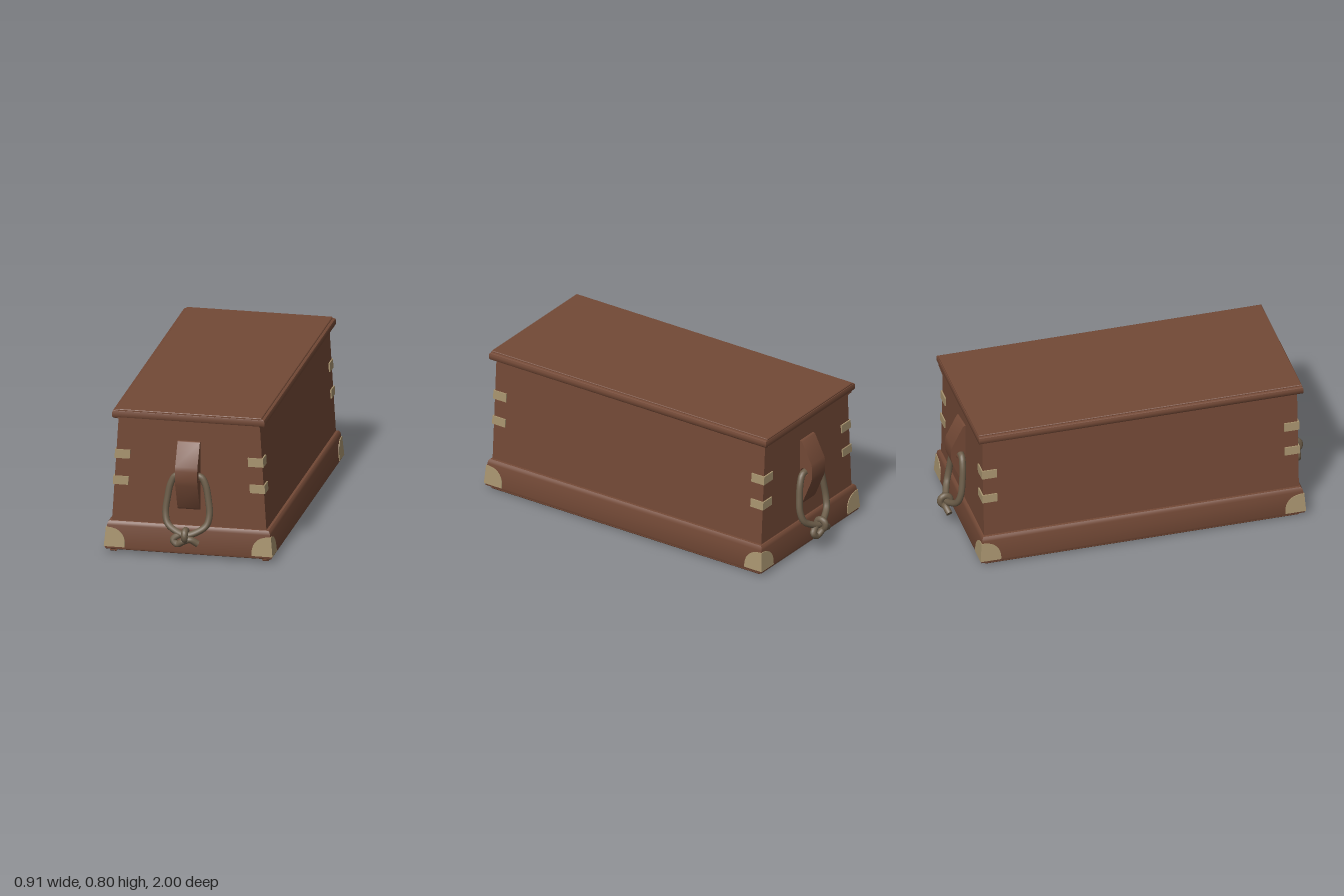
import * as THREE from 'three';
import { toCreasedNormals } from 'three/addons/utils/BufferGeometryUtils.js';

const mat = (name, color) => new THREE.MeshStandardMaterial({ name, color });

// Rectangular loft through levels [y, halfX, halfZ], capped at both ends
function loft(levels) {
  const pos = [], idx = [];
  for (const [y, x, z] of levels) pos.push(-x, y, z, x, y, z, x, y, -z, -x, y, -z);
  for (let l = 0; l < levels.length - 1; l++) {
    for (let i = 0; i < 4; i++) {
      const a = l * 4 + i, b = l * 4 + (i + 1) % 4;
      idx.push(a, b, b + 4, a, b + 4, a + 4);
    }
  }
  const t = (levels.length - 1) * 4;
  idx.push(0, 2, 1, 0, 3, 2, t, t + 1, t + 2, t, t + 2, t + 3);
  const g = new THREE.BufferGeometry();
  g.setAttribute('position', new THREE.Float32BufferAttribute(pos, 3));
  g.setIndex(idx);
  return toCreasedNormals(g, 0.65);
}

// Polygon extruded by depth
function extrude(points, depth, hole) {
  const s = new THREE.Shape(points.map(p => new THREE.Vector2(...p)));
  if (hole) s.holes.push(hole);
  return new THREE.ExtrudeGeometry(s, { depth, bevelEnabled: false, curveSegments: 16 });
}

// Moves each vertex by a rule; flip reverses the triangle winding
function remap(geo, rule, flip) {
  const g = geo.index ? geo.toNonIndexed() : geo.clone();
  const p = g.attributes.position, out = [];
  for (let i = 0; i < p.count; i++) out.push(rule(p.getX(i), p.getY(i), p.getZ(i)));
  for (let i = 0; i < p.count; i += 3) {
    const order = flip ? [0, 2, 1] : [0, 1, 2];
    order.forEach((k, j) => p.setXYZ(i + j, ...out[i + k]));
  }
  g.computeVertexNormals();
  return g;
}

export function createModel() {
  const wood = mat('brown wood', 0x734936);
  const brass = mat('pale brass', 0xa8946f);
  const rope = mat('rope', 0x6c5d49);
  const model = new THREE.Group();
  const add = (parent, name, geo, m) => {
    const mesh = new THREE.Mesh(geo, m);
    mesh.name = name;
    parent.add(mesh);
    return mesh;
  };

  // Tapered body and flared plinth
  add(model, 'body', loft([[0.16, 0.416, 0.86], [0.76, 0.379, 0.86]]), wood);
  add(model, 'plinth', loft([[0.018, 0.438, 0.875], [0.022, 0.446, 0.882], [0.035, 0.45, 0.885],
    [0.15, 0.439, 0.877], [0.165, 0.435, 0.874], [0.173, 0.427, 0.867], [0.175, 0.41, 0.855]]), wood);

  // Runners under the plinth
  for (const s of [-1, 1]) {
    const runner = add(model, 'runner', loft([[0, 0.014, 0.85], [0.005, 0.019, 0.858], [0.025, 0.019, 0.858]]), wood);
    runner.position.x = s * 0.409;
  }

  // Lid with rounded moulding and a raised top panel
  add(model, 'lidMoulding', loft([[0.745, 0.398, 0.878], [0.75, 0.406, 0.884], [0.756, 0.41, 0.887],
    [0.775, 0.41, 0.887], [0.785, 0.407, 0.885], [0.789, 0.4, 0.88]]), wood);
  add(model, 'lidPanel', loft([[0.785, 0.393, 0.883], [0.793, 0.393, 0.883], [0.796, 0.39, 0.88]]), wood);

  // Brass straps wrapping the body corners, following the taper
  const o = 0.007, n = -0.003, w = 0.075;
  const strapPlan = [[o, -o], [o, w], [n, w], [n, -n], [-w, -n], [-w, -o]];
  // Quarter-round plates for the plinth corners
  const quarter = [[0, 0]];
  for (let i = 0; i <= 14; i++) {
    const a = i / 14 * Math.PI / 2;
    quarter.push([0.112 * Math.cos(a) ** 0.85, 0.105 * Math.sin(a) ** 0.85]);
  }
  const plate = extrude(quarter, 0.009);
  for (const sx of [-1, 1]) {
    for (const sz of [-1, 1]) {
      const mirrored = sx * sz < 0;
      for (const [y0, h] of [[0.375, 0.046], [0.52, 0.048]]) {
        const geo = remap(extrude(strapPlan, h), (x, z, up) => {
          const y = y0 + up;
          return [sx * (0.416 - (y - 0.16) * 0.0617 + x), y, sz * (0.86 - z)];
        }, mirrored);
        add(model, 'cornerStrap', geo, brass);
      }
      const edge = y => [0.45 - 0.096 * y, 0.885 - 0.07 * y];
      add(model, 'cornerPlateEnd', remap(plate, (u, y, d) => {
        const [hx, hz] = edge(y);
        return [sx * (hx + 0.004 - u), y + 0.035, sz * (hz - 0.005 + d)];
      }, !mirrored), brass);
      add(model, 'cornerPlateSide', remap(plate, (u, y, d) => {
        const [hx, hz] = edge(y);
        return [sx * (hx - 0.005 + d), y + 0.035, sz * (hz + 0.004 - u)];
      }, mirrored), brass);
    }
  }

  // Each end: lid apron, wooden cleat and knotted rope handle
  const curve = (pts, closed) => new THREE.CatmullRomCurve3(pts.map(p => new THREE.Vector3(...p)), closed);
  for (const turn of [0, Math.PI]) {
    const end = new THREE.Group();
    end.name = turn ? 'backEnd' : 'frontEnd';
    end.rotation.y = turn;
    model.add(end);

    const apron = add(end, 'lidApron', extrude([[-0.38, 0.76], [-0.38, 0.745], [-0.02, 0.684], [0.02, 0.684],
      [0.38, 0.745], [0.38, 0.76]], 0.03), wood);
    apron.position.z = 0.855;

    // Cleat profile in (z, y), with a hole for the rope
    const hole = new THREE.Path();
    hole.absarc(0.887, 0.458, 0.024, 0, Math.PI * 2, true);
    const cleat = extrude([[0.855, 0.265], [0.868, 0.265], [0.876, 0.275], [0.932, 0.41], [0.939, 0.44],
      [0.939, 0.49], [0.934, 0.515], [0.874, 0.635], [0.868, 0.639], [0.855, 0.639]], 0.12, hole);
    cleat.rotateY(-Math.PI / 2);
    const smooth = toCreasedNormals(cleat.translate(0.06, 0, 0), 0.6);
    // Swap from the (x, y) drawing plane so the profile faces outward
    add(end, 'cleat', smooth, wood);

    const half = [[0.068, 0.45, 0.883], [0.093, 0.41, 0.886], [0.11, 0.33, 0.892], [0.118, 0.25, 0.902],
      [0.104, 0.195, 0.917], [0.06, 0.163, 0.935]];
    const loop = [[0, 0.456, 0.885], ...half, [0, 0.145, 0.95],
      ...half.slice().reverse().map(([x, y, z]) => [-x, y, z])];
    add(end, 'ropeLoop', new THREE.TubeGeometry(curve(loop, true), 90, 0.018, 10, true), rope);

    // Knot: a wrap around the loop and a curl that ends in a short tail
    const wrap = new THREE.TorusGeometry(0.027, 0.018, 10, 20).rotateY(Math.PI / 2);
    add(end, 'knotWrap', wrap, rope).position.set(0, 0.147, 0.955);
    const tail = curve([[0, 0.15, 0.935], [-0.04, 0.142, 0.945], [-0.067, 0.118, 0.952], [-0.045, 0.097, 0.958],
      [-0.01, 0.115, 0.965], [0.025, 0.126, 0.962], [0.065, 0.102, 0.95]], false);
    add(end, 'knotTail', new THREE.TubeGeometry(tail, 40, 0.018, 10, false), rope);
    const cap = add(end, 'tailEnd', new THREE.CircleGeometry(0.018, 10), rope);
    cap.position.copy(tail.getPoint(1));
    cap.quaternion.setFromUnitVectors(new THREE.Vector3(0, 0, 1), tail.getTangent(1));
  }
  return model;
}
